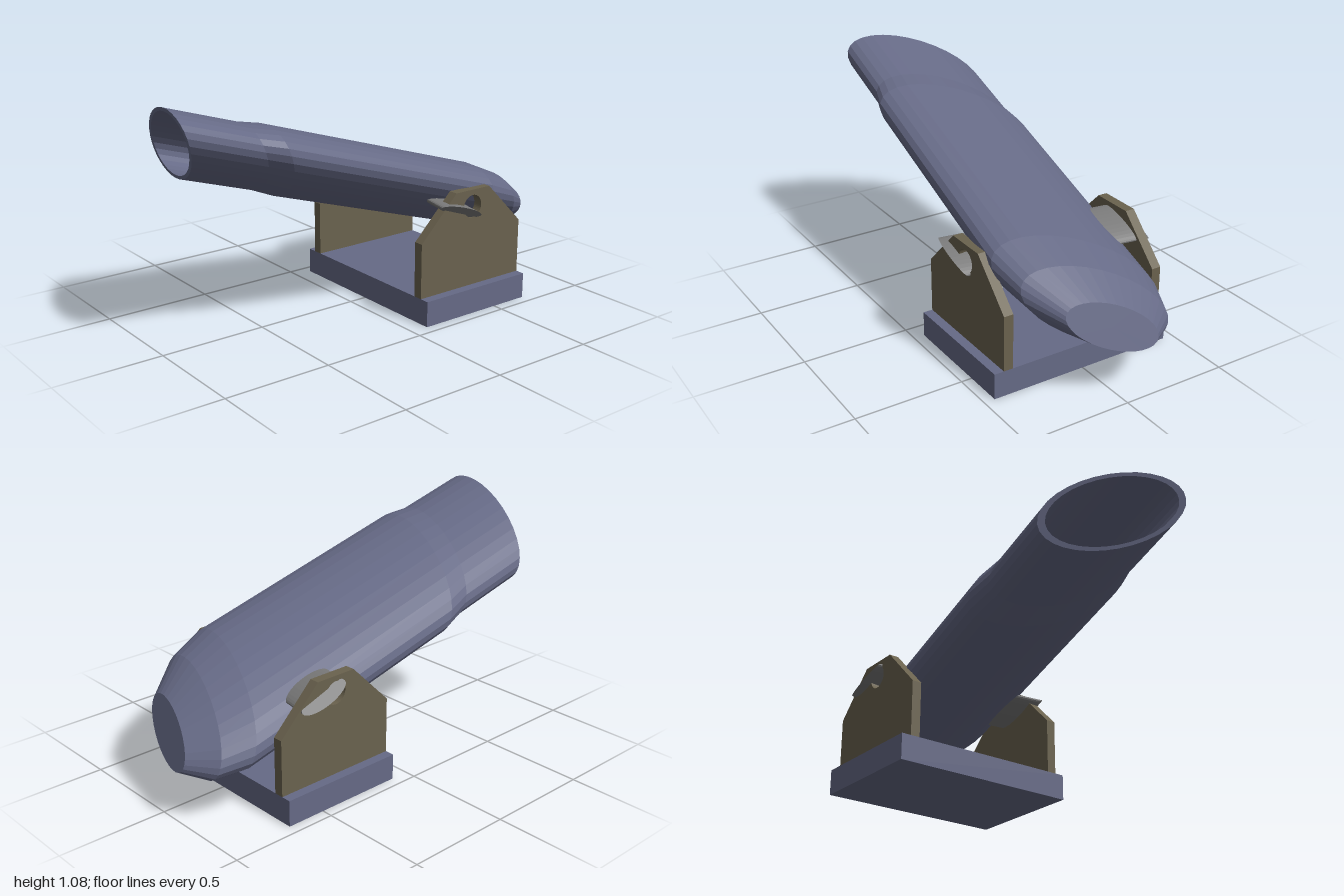
import * as THREE from 'three';

const steel = new THREE.MeshStandardMaterial({ color: 0x666a86 });
steel.name = 'blue steel';
const bronze = new THREE.MeshStandardMaterial({ color: 0x6a624e });
bronze.name = 'dull bronze';
const grey = new THREE.MeshStandardMaterial({ color: 0x7a7a7a });
grey.name = 'pin grey';

// Slanted frame shared by barrel and pins: along the bore, across it, and up
const along = new THREE.Vector3(1, -0.304, 0.0606);
const across = new THREE.Vector3(-0.05, -0.006, 0.268);
const up = new THREE.Vector3(-0.105, 0.193, 0.19);

function addMesh(parent, name, geometry, material) {
  const mesh = new THREE.Mesh(geometry, material);
  mesh.name = name;
  parent.add(mesh);
  return mesh;
}

// Shears a geometry into the frame and gives it flat facets
function slant(geometry, bx, by, bz, origin) {
  const matrix = new THREE.Matrix4().makeBasis(bx, by, bz).setPosition(origin);
  const flat = geometry.toNonIndexed().applyMatrix4(matrix);
  flat.computeVertexNormals();
  return flat;
}

export function createModel() {
  const model = new THREE.Group();
  model.name = 'mountedCannon';

  // Base slab
  addMesh(model, 'base', new THREE.BoxGeometry(0.6, 0.12, 0.9), steel).position.set(0.385, 0.06, 0);

  // Side plates with clipped corners and a round pin hole
  const outline = new THREE.Shape([
    [0.085, 0.12], [0.685, 0.12], [0.685, 0.378], [0.485, 0.578], [0.285, 0.578], [0.085, 0.378],
  ].map(([x, y]) => new THREE.Vector2(x, y)));
  const hole = new THREE.Path();
  hole.absarc(0.385, 0.5, 0.053, 0, Math.PI * 2, true);
  outline.holes.push(hole);
  const plate = new THREE.ExtrudeGeometry(outline, { depth: 0.045, bevelEnabled: false, curveSegments: 24 });
  addMesh(model, 'frontPlate', plate, bronze).position.z = 0.36;
  addMesh(model, 'backPlate', plate, bronze).position.z = -0.405;

  // Hollow barrel: bore, muzzle rim, collar step, body, tapered closed breech
  const profile = [
    [0, 0.62], [0.9, 0.62], [0.9, -0.885], [1, -0.885], [1, -0.54], [1.082, -0.43],
    [1.082, 0.655], [0.942, 0.805], [0.585, 0.93], [0, 0.93],
  ].map(([r, s]) => new THREE.Vector2(r, s));
  addMesh(model, 'barrel', slant(
    new THREE.LatheGeometry(profile, 32), across, along, up, new THREE.Vector3(0, 0.621, -0.017)), steel);

  // Pins joining the barrel to the plates
  for (const side of [1, -1]) {
    const pin = new THREE.CylinderGeometry(1, 1, 0.66, 32).translate(0, -side * 1.23, 0);
    const axis = across.clone().negate();
    axis.x += 0.0; 
    addMesh(model, side > 0 ? 'frontPin' : 'backPin', slant(
      pin, along.clone().multiplyScalar(0.115), axis, up.clone().multiplyScalar(0.16),
      new THREE.Vector3(0.385, 0.5, 0)), grey);
  }
  return model;
}
